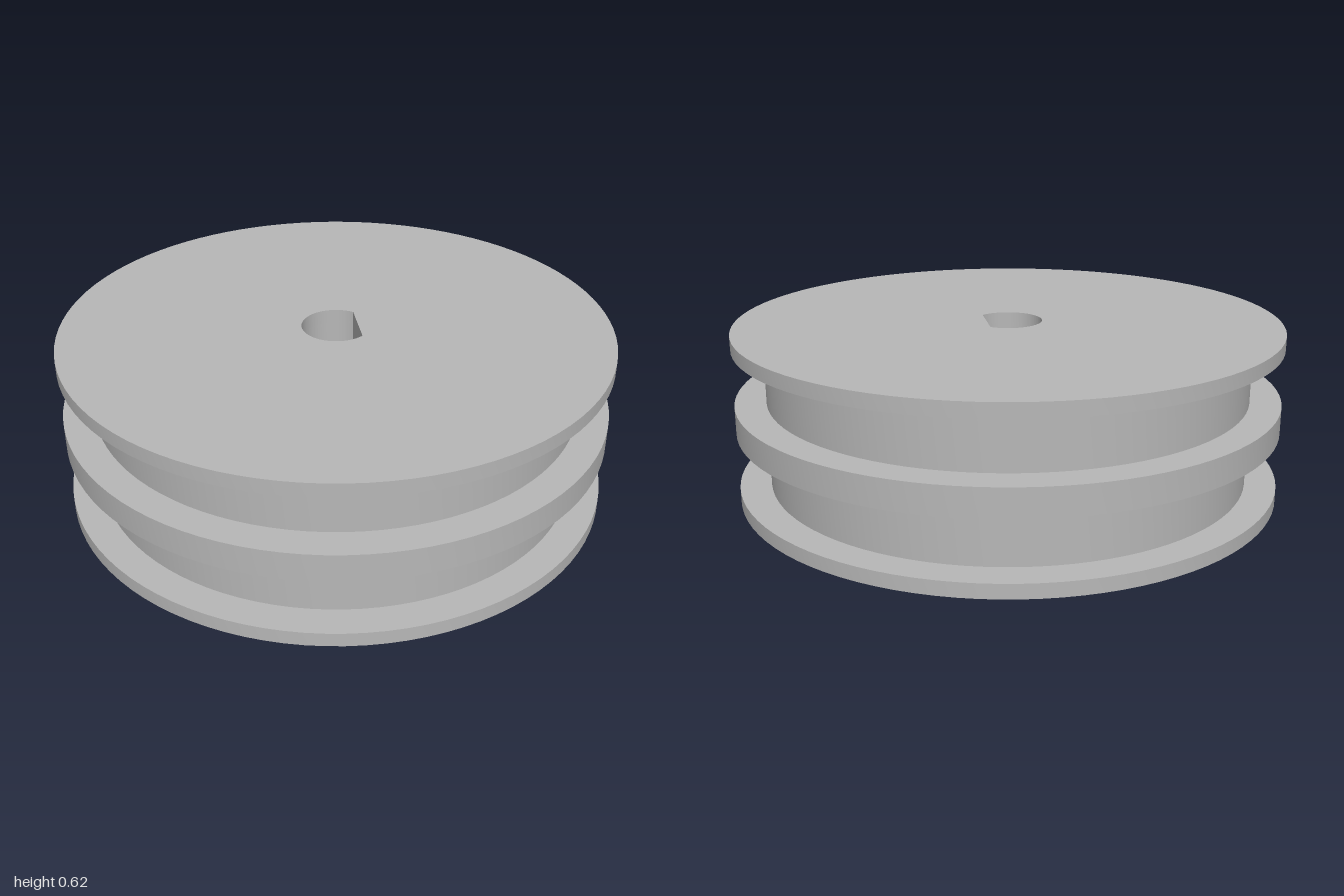
import * as THREE from 'three';
import { toCreasedNormals } from 'three/addons/utils/BufferGeometryUtils.js';

const BORE_RADIUS = 0.125;
const BORE_FLAT = 0.08; // distance of the bore's flat side from the axis

// Disc lying between two heights, pierced by the D-shaped bore
function boredDisc(radius, bottom, top) {
  const shape = new THREE.Shape().absarc(0, 0, radius, 0, Math.PI * 2, false);
  const a = Math.acos(BORE_FLAT / BORE_RADIUS);
  const bore = new THREE.Path().absarc(0, 0, BORE_RADIUS, a, Math.PI * 2 - a, false);
  bore.closePath();
  shape.holes.push(bore);
  const geometry = new THREE.ExtrudeGeometry(shape, {
    depth: top - bottom, bevelEnabled: false, curveSegments: 48,
  });
  geometry.rotateX(-Math.PI / 2).translate(0, bottom, 0);
  return toCreasedNormals(geometry, 0.5);
}

export function createModel() {
  const group = new THREE.Group();
  group.name = 'doubleGroovePulley';
  const grey = new THREE.MeshStandardMaterial({ color: 0xb8b8b8 });
  grey.name = 'grey';

  // Flanges and groove cores stacked from the bottom up
  const layers = [
    ['bottomFlange', 1, 0, 0.052],
    ['lowerGrooveCore', 0.887, 0.052, 0.26],
    ['middleFlange', 1, 0.26, 0.362],
    ['upperGrooveCore', 0.887, 0.362, 0.57],
    ['topFlange', 1, 0.57, 0.622],
  ];
  for (const [name, radius, bottom, top] of layers) {
    const mesh = new THREE.Mesh(boredDisc(radius, bottom, top), grey);
    mesh.name = name;
    group.add(mesh);
  }
  return group;
}
